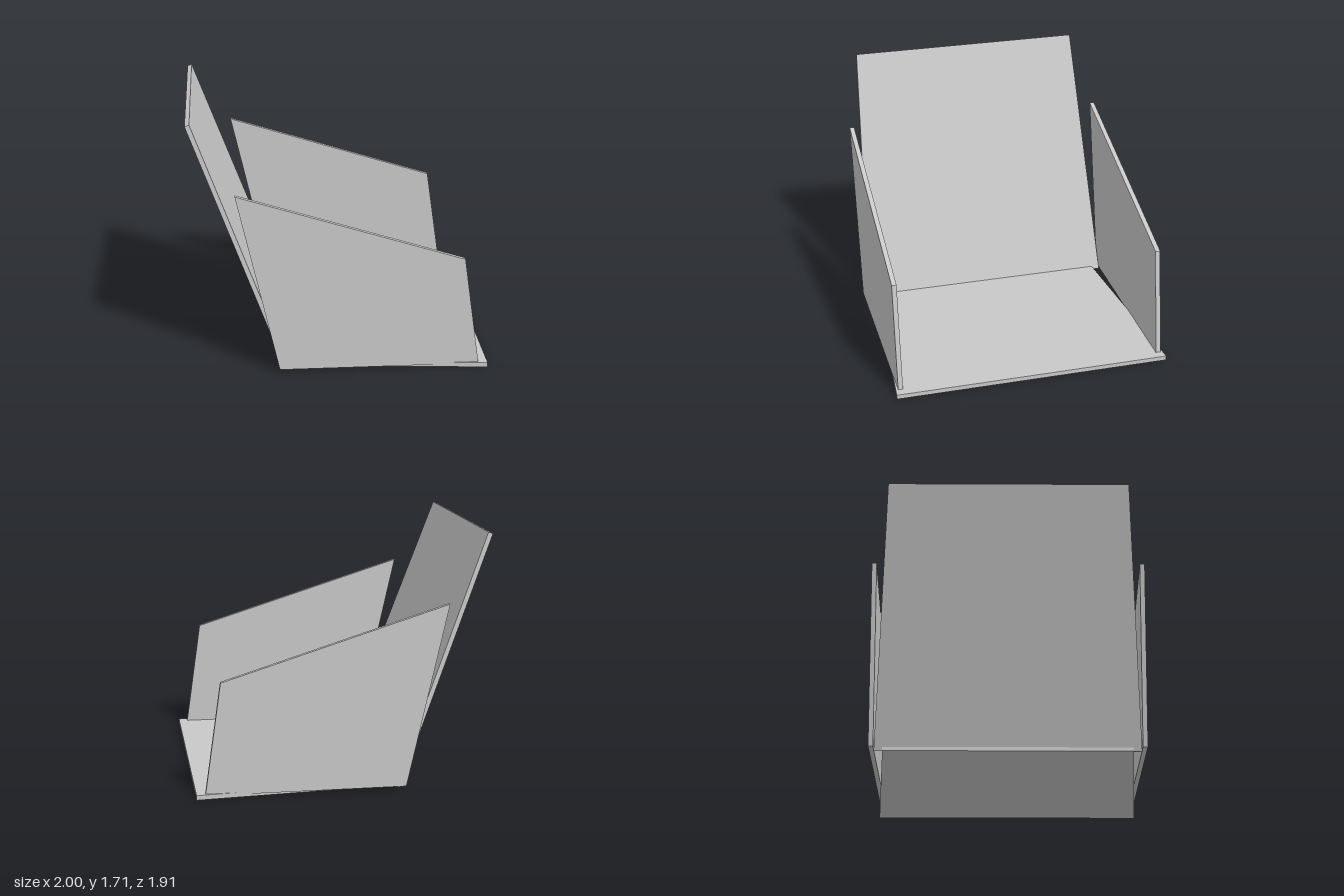
import * as THREE from 'three';

// Flat slab: polygon outline in XY, extruded along +Z
function slab(points, depth) {
  const shape = new THREE.Shape(points.map(([x, y]) => new THREE.Vector2(x, y)));
  return new THREE.ExtrudeGeometry(shape, { depth, bevelEnabled: false });
}

export function createModel() {
  const group = new THREE.Group();
  const grey = new THREE.MeshStandardMaterial({ color: 0xc8c8c8 });
  grey.name = 'light grey';
  const add = (name, geometry) => {
    const mesh = new THREE.Mesh(geometry, grey);
    mesh.name = name;
    group.add(mesh);
    return mesh;
  };

  // Seat: a thin board, wider at its open end
  const seat = slab([[-0.38, -0.842], [1, -0.957], [1, 0.957], [-0.38, 0.842]], 0.032);
  seat.rotateX(-Math.PI / 2);
  add('seat', seat);

  // Side panels: matching sloped boards along both edges
  const side = [[-0.41, 0.02], [0.94, 0.02], [0.83, 0.78], [-0.69, 1.257]];
  for (const [name, z] of [['leftSidePanel', 0.902], ['rightSidePanel', -0.935]]) {
    add(name, slab(side, 0.033)).position.z = z;
  }

  // Backrest: a tapered board leaning away from the seat
  const up = new THREE.Vector3(-0.63, 1.7, 0);
  const length = up.length();
  up.normalize();
  const across = new THREE.Vector3(0, 0, -1);
  const facing = new THREE.Vector3().crossVectors(across, up);
  const back = slab([[-0.9, 0], [0.9, 0], [0.817, length], [-0.817, length]], 0.032);
  back.applyMatrix4(new THREE.Matrix4().makeBasis(across, up, facing).setPosition(-0.37, 0, 0));
  add('backrest', back);

  return group;
}
